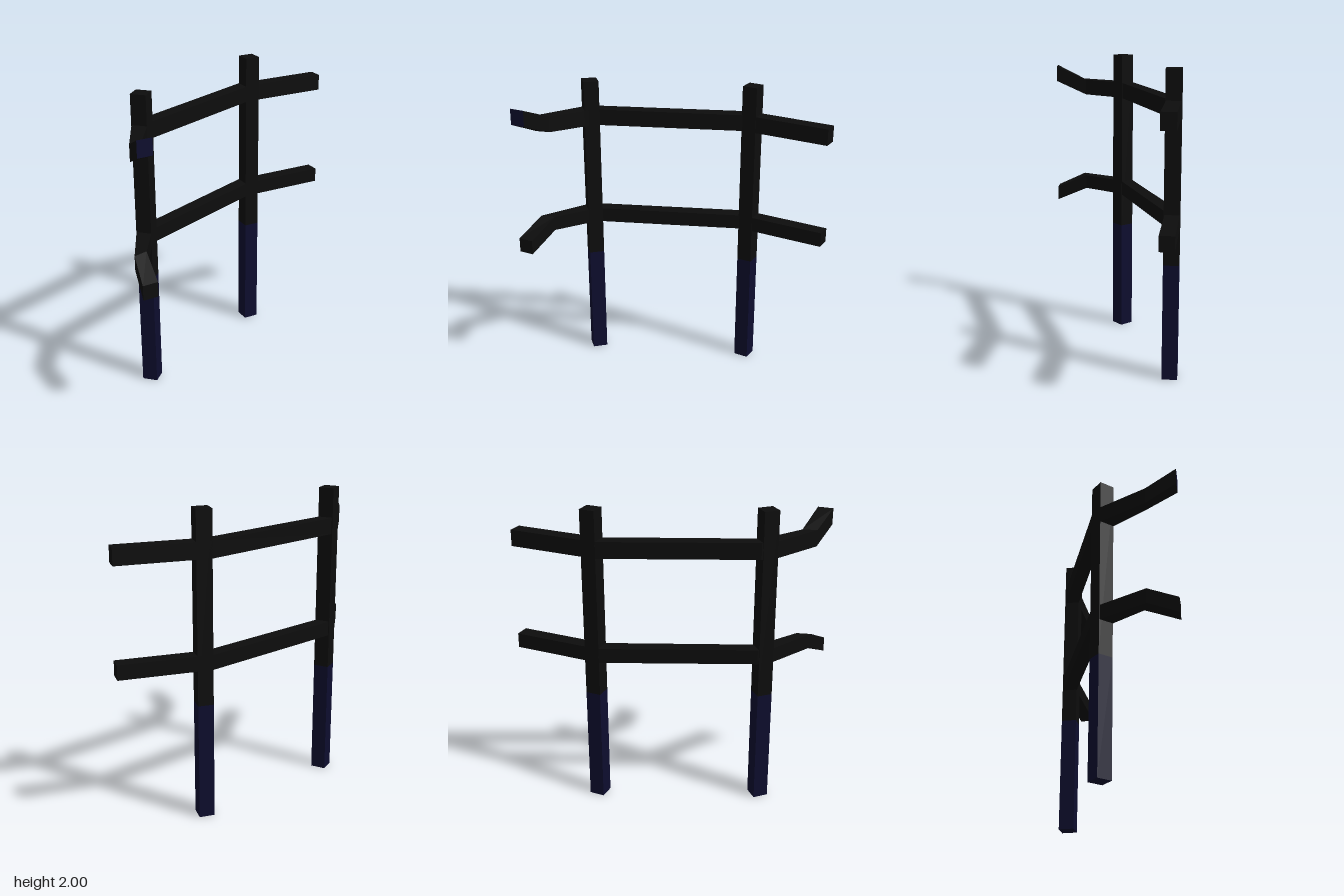
import * as THREE from 'three';

const black = new THREE.MeshStandardMaterial({ color: 0x0d0d0d });
black.name = 'black';
const navy = new THREE.MeshStandardMaterial({ color: 0x0d0d2e });
navy.name = 'navy';

const THICK = 0.1;
const PAINT_LINE = 0.77;

// Rail plan: [outer x, outer z, inner x, inner z]
const plan = [
  [0.895, -0.49, 0.895, -0.395],
  [0.30, -0.49, 0.315, -0.395],
  [-0.63, -0.095, -0.57, -0.025],
  [-0.71, -0.02, -0.64, 0.05],
  [-0.86, 0.29, -0.77, 0.265],
  [-0.90, 0.49, -0.80, 0.485],
];

// Upright post with a navy lower part
function makePost(name, x, z, turn) {
  const post = new THREE.Group();
  post.name = name;
  const pieces = [['postBase', 0, PAINT_LINE, navy], ['postTop', PAINT_LINE, 2, black]];
  for (const [label, y0, y1, material] of pieces) {
    const mesh = new THREE.Mesh(new THREE.BoxGeometry(THICK, y1 - y0, THICK), material);
    mesh.name = label;
    mesh.position.y = (y0 + y1) / 2;
    post.add(mesh);
  }
  post.position.set(x, 0, z);
  post.rotation.y = turn;
  return post;
}

// Square rail following the plan; its last section rises or drops by bend
function makeRail(name, y, height, bend, endMaterial) {
  const rings = plan.map(([ox, oz, ix, iz], i) => {
    const low = y + (i === plan.length - 1 ? bend : 0);
    const high = low + height;
    return [[ox, low, oz], [ox, high, oz], [ix, high, iz], [ix, low, iz]];
  });
  const positions = [];
  const quad = (a, b, c, d) => positions.push(...a, ...b, ...c, ...a, ...c, ...d);

  quad(...rings[0]);
  for (let i = 0; i < rings.length - 1; i++) {
    const r = rings[i], s = rings[i + 1];
    for (let j = 0; j < 4; j++) {
      const k = (j + 1) % 4;
      quad(r[k], r[j], s[j], s[k]);
    }
  }
  const bodyCount = positions.length / 3;
  quad(...rings[rings.length - 1].slice().reverse());

  const geometry = new THREE.BufferGeometry();
  geometry.setAttribute('position', new THREE.Float32BufferAttribute(positions, 3));
  geometry.addGroup(0, bodyCount, 0);
  geometry.addGroup(bodyCount, 6, 1);
  geometry.computeVertexNormals();
  const rail = new THREE.Mesh(geometry, [black, endMaterial]);
  rail.name = name;
  return rail;
}

export function createModel() {
  const fence = new THREE.Group();
  fence.name = 'fence';
  fence.add(
    makePost('leftPost', 0.348, -0.44, 0),
    makePost('rightPost', -0.64, -0.022, Math.PI / 4),
    makeRail('upperRail', 1.70, 0.107, 0.092, navy),
    makeRail('lowerRail', 1.00, 0.097, -0.1, black),
  );
  return fence;
}
